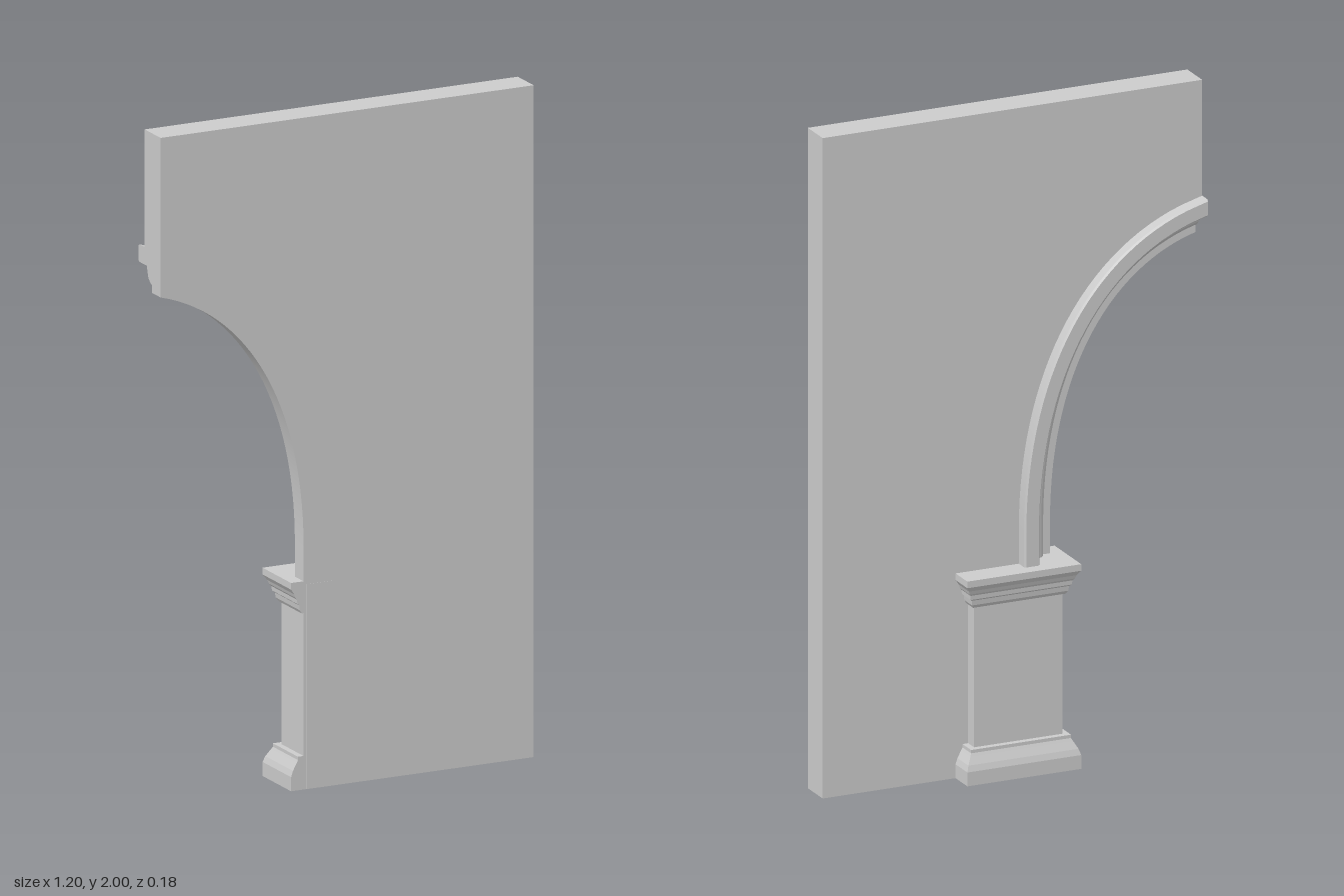
import * as THREE from 'three';
import { toCreasedNormals } from 'three/addons/utils/BufferGeometryUtils.js';

const FRONT = 0.09, BACK = -0.01, CAP_TOP = 0.62, STEPS = 30;

// Edge of the opening, from the crown (x = -0.6) down to the top of the pedestal
const arch = new THREE.CubicBezierCurve(
  new THREE.Vector2(-0.6, 1.525), new THREE.Vector2(-0.32, 1.45),
  new THREE.Vector2(-0.14, 1.15), new THREE.Vector2(-0.14, 0.72));

// Point at step i, moved d away from the opening
function archPoint(i, d) {
  if (i === STEPS) return new THREE.Vector2(-0.14 + d, CAP_TOP);
  const t = i / (STEPS - 1);
  const p = arch.getPoint(t), g = arch.getTangent(t);
  // mitred at the crown so that the end is cut vertically
  if (i === 0) return new THREE.Vector2(p.x, p.y + d / g.x);
  return new THREE.Vector2(p.x - g.y * d, p.y + g.x * d);
}

// Wall slab, cut back behind the moulding
function wallGeometry() {
  const s = new THREE.Shape();
  s.moveTo(-0.13, 0).lineTo(0.6, 0).lineTo(0.6, 2).lineTo(-0.6, 2);
  for (let i = 0; i <= STEPS; i++) {
    const p = archPoint(i, 0.1);
    s.lineTo(p.x, p.y);
  }
  s.lineTo(-0.04, 0.61).lineTo(-0.13, 0.61).closePath();
  const g = new THREE.ExtrudeGeometry(s, { depth: FRONT - BACK, bevelEnabled: false });
  g.translate(0, 0, BACK);
  return toCreasedNormals(g, 0.4);
}

// Moulding: profile of (distance from opening, z) swept along the arch
function mouldingGeometry() {
  const profile = [
    [0, FRONT], [0, 0.035], [0.022, 0.035], [0.027, 0.024], [0.038, 0.013],
    [0.055, 0.007], [0.07, 0.004], [0.07, -0.043], [0.075, -0.05],
    [0.115, -0.05], [0.12, -0.045], [0.12, BACK], [0.1, BACK], [0.1, FRONT],
  ].map(([d, z]) => new THREE.Vector2(d, z));
  const g = new THREE.ExtrudeGeometry(new THREE.Shape(profile),
    { depth: 1, steps: STEPS, bevelEnabled: false });
  const pos = g.attributes.position;
  for (let k = 0; k < pos.count; k++) {
    const p = archPoint(Math.round(pos.getZ(k) * STEPS), pos.getX(k));
    pos.setXYZ(k, p.x, p.y, pos.getY(k));
  }
  return toCreasedNormals(g, 0.4);
}

// Rectangular stack: levels of (height, projection beyond the shaft)
function stackGeometry(levels) {
  const v = [];
  const quad = (a, b, c, d) => v.push(...a, ...b, ...c, ...a, ...c, ...d);
  const rings = levels.map(([y, o]) => {
    const x = 0.14 + o, f = FRONT - 0.0005, b = -0.05 - o;
    return [[-x, y, f], [x, y, f], [x, y, b], [-x, y, b]];
  });
  for (let r = 0; r < rings.length - 1; r++) {
    for (let i = 0; i < 4; i++) {
      const j = (i + 1) % 4;
      quad(rings[r][i], rings[r][j], rings[r + 1][j], rings[r + 1][i]);
    }
  }
  quad(...rings[rings.length - 1]);
  quad(...[...rings[0]].reverse());
  const g = new THREE.BufferGeometry();
  g.setAttribute('position', new THREE.Float32BufferAttribute(v, 3));
  g.computeVertexNormals();
  return g;
}

export function createModel() {
  const model = new THREE.Group();
  model.name = 'archedWall';
  const material = new THREE.MeshStandardMaterial({ color: 0xcccccc });
  const add = (name, geometry, parent = model) => {
    const mesh = new THREE.Mesh(geometry, material);
    mesh.name = name;
    parent.add(mesh);
  };

  add('wall', wallGeometry());
  add('archMoulding', mouldingGeometry());

  // Pedestal running through the wall under the arch
  const pedestal = new THREE.Group();
  pedestal.name = 'pedestal';
  model.add(pedestal);
  add('base', stackGeometry([[0, 0.04], [0.042, 0.04], [0.06, 0.034],
    [0.082, 0.022], [0.09, 0.018], [0.1, 0.018]]), pedestal);
  add('shaft', stackGeometry([[0.1, 0], [0.525, 0]]), pedestal);
  add('capital', stackGeometry([[0.525, 0.006], [0.535, 0.012], [0.55, 0.014],
    [0.555, 0.02], [0.568, 0.021], [0.574, 0.026], [0.585, 0.03],
    [0.6, 0.04], [CAP_TOP, 0.04]]), pedestal);
  return model;
}
